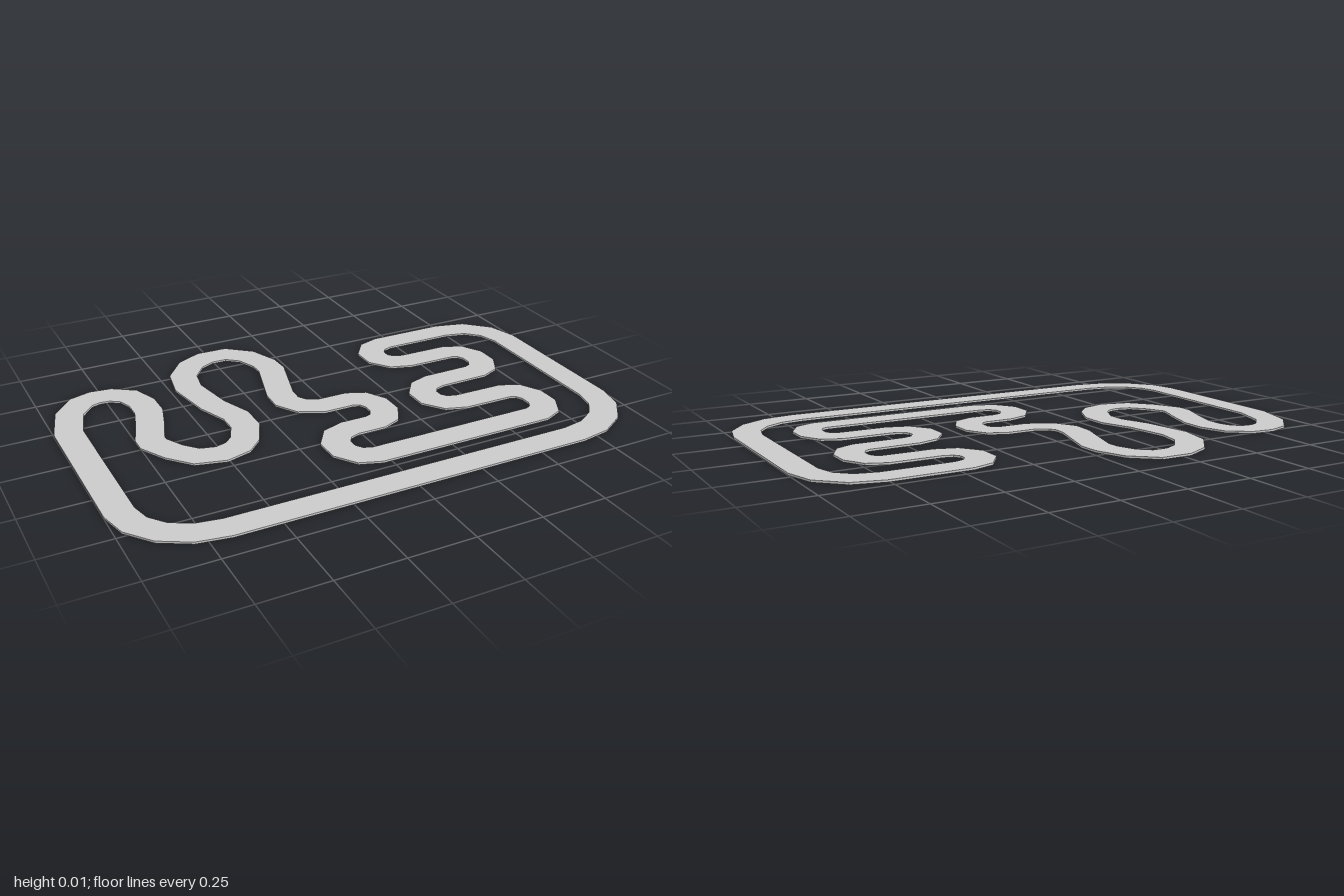
import * as THREE from 'three';

const HALF_WIDTH = 0.0525;
const THICKNESS = 0.008;

// Points along an elliptical bend in plan (x right, z towards the front), angles in degrees
function bend(cx, cz, rx, rz, from, to, steps) {
  const pts = [];
  for (let i = 0; i <= steps; i++) {
    const a = THREE.MathUtils.degToRad(from + ((to - from) * i) / steps);
    pts.push(new THREE.Vector2(cx + rx * Math.cos(a), cz + rz * Math.sin(a)));
  }
  return pts;
}

const points = (list) => list.map(([x, z]) => new THREE.Vector2(x, z));

// Mitred parallel of a closed centreline
function offset(line, distance) {
  const n = line.length;
  return line.map((p, i) => {
    const a = p.clone().sub(line[(i + n - 1) % n]).normalize();
    const b = line[(i + 1) % n].clone().sub(p).normalize();
    const normal = new THREE.Vector2(a.y + b.y, -a.x - b.x).normalize();
    const stretch = 1 / Math.max(0.5, normal.x * a.y - normal.y * a.x);
    return p.clone().addScaledVector(normal, distance * stretch);
  });
}

export function createModel() {
  const centreline = [
    // outer corners on the right
    ...bend(0.68, 0.37, 0.2675, 0.238, 90, 0, 4),
    ...bend(0.75, -0.22, 0.1975, 0.192, 0, -90, 3),
    // stacked hairpins
    ...bend(0.46, -0.312, 0.1, 0.1, 270, 90, 5),
    ...bend(0.655, -0.105, 0.08, 0.105, -90, 90, 5),
    ...bend(0.46, 0.103, 0.1, 0.1, 270, 90, 5),
    ...bend(0.655, 0.311, 0.08, 0.106, -90, 90, 5),
    ...bend(-0.025, 0.309, 0.1, 0.108, 90, 270, 5),
    ...bend(0.085, 0.097, 0.08, 0.104, 90, -90, 5),
    // tall loop at the back
    ...points([
      [-0.03, -0.007], [-0.1, -0.04], [-0.135, -0.1], [-0.132, -0.17],
      [-0.07, -0.39], [-0.073, -0.455], [-0.11, -0.55], [-0.18, -0.61],
      [-0.27, -0.612], [-0.345, -0.575], [-0.41, -0.49], [-0.43, -0.38],
      [-0.4, -0.2], [-0.355, -0.08], [-0.355, 0.01],
    ]),
    // dip and small loop on the left
    ...points([
      [-0.395, 0.1], [-0.44, 0.145], [-0.51, 0.165], [-0.595, 0.143],
      [-0.655, 0.075], [-0.7, -0.01], [-0.7, -0.05], [-0.665, -0.15],
      [-0.633, -0.26], [-0.633, -0.34], [-0.66, -0.415], [-0.72, -0.457],
      [-0.78, -0.464], [-0.84, -0.445], [-0.905, -0.37], [-0.9475, -0.225],
    ]),
    // outer corner at front left
    ...bend(-0.67, 0.37, 0.2775, 0.238, 180, 90, 4),
  ];

  // Flat ribbon: outer outline with the inner outline cut out
  const flip = (pts) => pts.map((p) => new THREE.Vector2(p.x, -p.y));
  const shape = new THREE.Shape(flip(offset(centreline, -HALF_WIDTH)));
  shape.holes.push(new THREE.Path(flip(offset(centreline, HALF_WIDTH))));
  const geometry = new THREE.ExtrudeGeometry(shape, { depth: THICKNESS, bevelEnabled: false });
  geometry.rotateX(-Math.PI / 2);

  const track = new THREE.Mesh(
    geometry,
    new THREE.MeshStandardMaterial({ color: 0xcccccc, flatShading: true }),
  );
  track.name = 'trackSurface';

  const group = new THREE.Group();
  group.name = 'raceTrack';
  group.add(track);
  return group;
}
